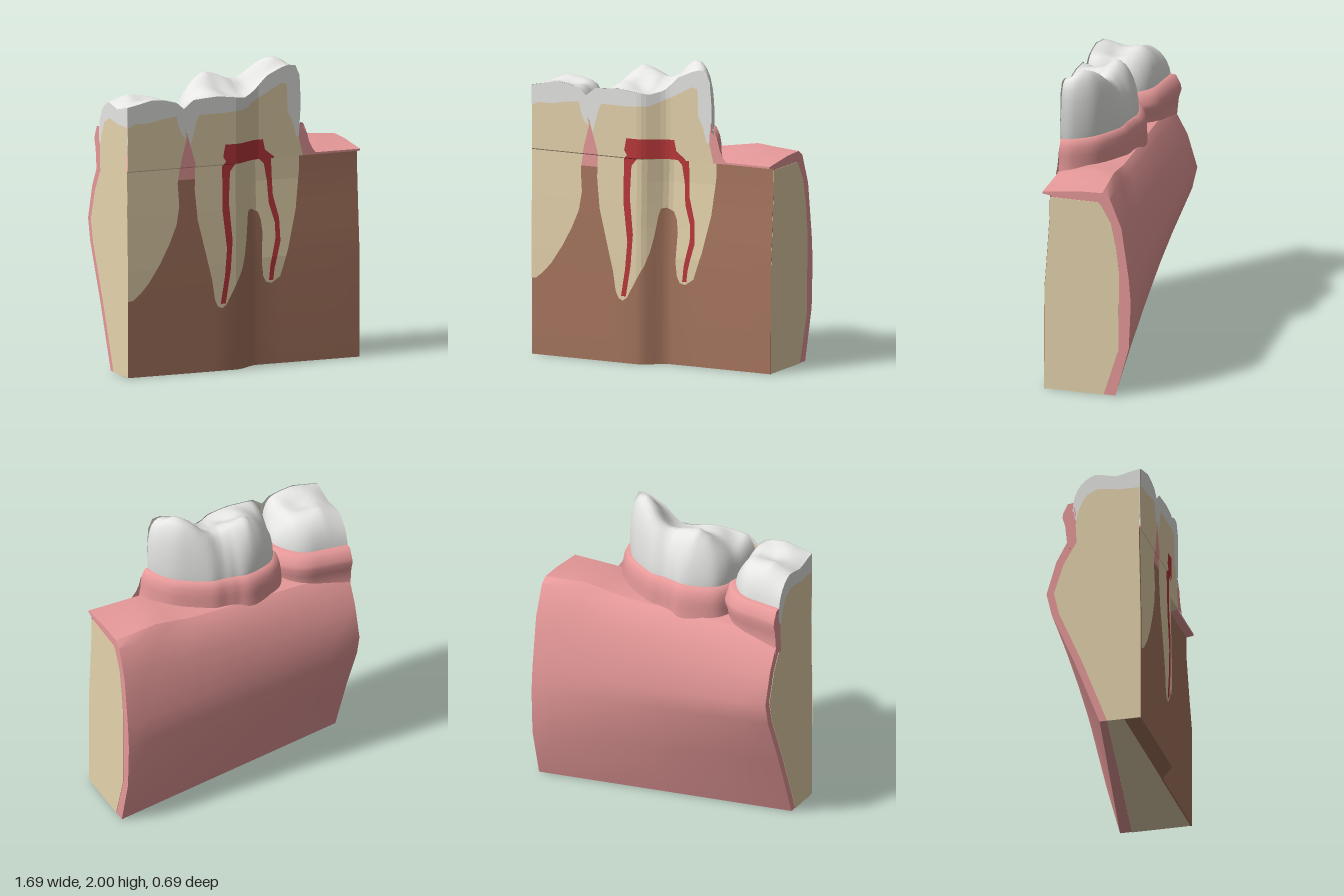
import * as THREE from 'three';
import { mergeGeometries, toCreasedNormals } from 'three/addons/utils/BufferGeometryUtils.js';

const mat = (name, color) => new THREE.MeshStandardMaterial({ name, color, side: THREE.DoubleSide });
const HALF = 0.845;
const BEND = [-0.08, -0.05, -0.02, 0.02, 0.06, 0.09, 0.12];
const LEDGE = [1.352, 1.345, 1.2, 1.05, 0.9, 0.7];
const smooth = THREE.MathUtils.smoothstep;
const bell = (v, w) => Math.exp(-((v / w) ** 2));

// Linear lookup in [x, y] points
function lookup(pts, x) {
  if (x <= pts[0][0]) return pts[0][1];
  for (let i = 1; i < pts.length; i++) {
    const [x0, y0] = pts[i - 1], [x1, y1] = pts[i];
    if (x <= x1) return y0 + (y1 - y0) * (x - x0) / (x1 - x0);
  }
  return pts[pts.length - 1][1];
}

// Depth of the cut front face: a step back in the middle, and a hollow under a ledge at gum height
const HOLLOW_L = [[0.7, -0.006], [1.05, 0], [1.345, 0.006], [1.352, 0]];
const HOLLOW_R = [[0, 0.012], [0.7, 0.015], [0.9, 0.03], [1.2, 0.05], [1.345, 0.052], [1.352, 0]];
function frontZ(x, y = 2) {
  const t = smooth(x, -0.08, 0.12);
  return 0.34 - 0.086 * t - lookup(HOLLOW_L, y) * (1 - t) - lookup(HOLLOW_R, y) * t;
}

// Keep the part of a polygon on one side of a line across the given axis
function clip(poly, axis, at, sign) {
  const out = [];
  poly.forEach((p, i) => {
    const q = poly[(i + 1) % poly.length];
    const a = (p[axis] - at) * sign, b = (q[axis] - at) * sign, t = a / (a - b);
    if (a >= 0) out.push(p);
    if (a * b < 0) out.push([p[0] + (q[0] - p[0]) * t, p[1] + (q[1] - p[1]) * t]);
  });
  return out;
}
const flat = (poly) => new THREE.ShapeGeometry(new THREE.Shape(poly.map(([x, y]) => new THREE.Vector2(x, y))));

// Thin plate that follows the front face
function frontPlate(poly, lift) {
  const xs = [-1, ...BEND, 1], ys = [2.1, ...LEDGE, 0], parts = [];
  for (let i = 0; i + 1 < xs.length; i++) for (let j = 0; j + 1 < ys.length; j++) {
    const column = clip(clip(poly, 0, xs[i], 1), 0, xs[i + 1], -1);
    const piece = clip(clip(column, 1, ys[j + 1], 1), 1, ys[j], -1);
    if (piece.length < 3) continue;
    const g = flat(piece), p = g.attributes.position;
    for (let k = 0; k < p.count; k++) p.setZ(k, frontZ(p.getX(k), p.getY(k)) + lift);
    g.computeVertexNormals();
    parts.push(g);
  }
  return mergeGeometries(parts);
}

// Plate on the cut end at -x, from [z, y] points
const endPlate = (poly, lift) => flat(poly).rotateY(-Math.PI / 2).translate(-HALF - lift, 0, 0);

function build(pos, index, crease) {
  const g = new THREE.BufferGeometry();
  g.setAttribute('position', new THREE.Float32BufferAttribute(pos, 3));
  g.setIndex(index);
  return toCreasedNormals(g, crease);
}

// Solid lofted along x; section(x) gives [z, y] from bottom back, over the top, to bottom front
function loft(section, half) {
  const xs = [-half, -0.65, -0.45, -0.25, ...BEND, 0.3, 0.45, 0.55, 0.7, half];
  const rows = xs.map(section), n = rows[0].length, pos = [], idx = [];
  rows.forEach((r, i) => r.forEach(([z, y]) => pos.push(xs[i], y, z)));
  for (let i = 0; i + 1 < xs.length; i++) for (let j = 0; j < n; j++) {
    const a = i * n + j, b = i * n + (j + 1) % n, c = b + n, d = a + n;
    idx.push(a, b, d, b, c, d);
  }
  const cap = (r) => THREE.ShapeUtils.triangulateShape(r.map(([z, y]) => new THREE.Vector2(-z, y)), []);
  cap(rows[xs.length - 1]).forEach((f) => f.forEach((v) => idx.push(v + (xs.length - 1) * n)));
  cap(rows[0]).forEach(([a, b, c]) => idx.push(a, c, b));
  return build(pos, idx, 0.55);
}
function blend(left, right, x, gap, frontYs) {
  const t = (x + HALF) / (2 * HALF);
  const back = left.map(([z, y], i) => [z + (right[i][0] - z) * t, y + (right[i][1] - y) * t]);
  return [...back, ...[...frontYs, back[0][1]].map((y) => [frontZ(x, y) - gap, y])];
}

// Fan of rings around a point on the front face; outline is [x, depth] behind it
function fan(cx, outline, rings, height) {
  const N = 56, M = rings.length, pos = [], idx = [], last = [];
  const curve = new THREE.SplineCurve(outline.map(([x, d]) => new THREE.Vector2(x, d)));
  for (let j = 0; j <= N; j++) {
    const p = curve.getPoint(j / N);
    rings.forEach(([k, v]) => {
      const x = cx + (p.x - cx) * k, d = p.y * k, y = height(x, d, v, j / N);
      pos.push(x, y, frontZ(x) - d);
      if (j === N) last.push([frontZ(x) - d, y]);
    });
  }
  for (let j = 0; j < N; j++) for (let i = 0; i + 1 < M; i++) {
    const a = j * M + i, b = a + 1, c = b + M, d = a + M;
    idx.push(a, b, d, b, c, d);
  }
  return { geometry: build(pos, idx, 1.2), last };
}

// Crown rings: [scale of outline, drop from biting surface to neck]
const CROWN = [[0, 0], [0.12, 0], [0.24, 0], [0.36, 0], [0.48, 0], [0.58, 0], [0.67, 0], [0.75, 0.015], [0.82, 0.05],
  [0.88, 0.11], [0.93, 0.2], [0.97, 0.34], [0.99, 0.5], [1, 0.68], [0.985, 0.85], [0.95, 1]];
const NECK = 1.45;

function crownHeight(front, ridge, peakDepth, grooveEnd, arc) {
  return (x, d, q, t) => {
    const f = lookup(front, x), r = lookup(ridge, x), p = peakDepth(x);
    const rise = d < p ? smooth(d, 0, p) : bell(d - p, 0.2);
    const groove = 0.03 * bell(d - p * 0.55, 0.075) * (1 - smooth(x, grooveEnd - 0.15, grooveEnd));
    const ripple = 0.012 * Math.sin(x * 24 + d * 9) * Math.sin(Math.min(d, 0.25) * 12.5);
    const h = f + (r - f) * rise - groove + ripple;
    return h + (NECK - h) * q ** (1.5 - 0.8 * Math.sin(arc * t));
  };
}

export function createModel() {
  const group = new THREE.Group();
  const gum = mat('gum pink', 0xeb9c9c), bone = mat('tan dentine', 0xe5d3ac), marrow = mat('brown bone', 0xa7765f);
  const enamel = mat('enamel white', 0xe6e6e4), pulp = mat('pulp red', 0xba383b);
  const add = (name, geometry, material) => {
    const m = new THREE.Mesh(geometry, material);
    m.name = name;
    group.add(m);
  };

  // Jaw: gum shell, bone core and brown front slab
  const gumL = [[0.07, 0.004], [-0.1, 0.45], [-0.25, 0.8], [-0.285, 0.95], [-0.22, 1.17], [-0.15, 1.3], [-0.1, 1.36], [0, 1.38]];
  const gumR = [[-0.24, 0.004], [-0.33, 0.34], [-0.343, 0.65], [-0.33, 0.82], [-0.28, 1.17], [-0.2, 1.37], [-0.15, 1.4], [0, 1.395]];
  const boneL = [[0.12, 0.002], [-0.05, 0.45], [-0.2, 0.8], [-0.235, 0.95], [-0.17, 1.15], [-0.1, 1.27], [-0.06, 1.33]];
  const boneR = [[-0.16, 0.002], [-0.26, 0.32], [-0.265, 0.86], [-0.245, 1.03], [-0.21, 1.2], [-0.14, 1.32], [-0.12, 1.335]];
  // The gum top swells a little beside the large tooth
  const gumSection = (x) => blend(gumL, gumR, x, 0.003, [1.365, ...LEDGE])
    .map(([z, y]) => [z, y > 1.37 ? y + 0.035 * bell(x - 0.56, 0.16) : y]);
  const lower = LEDGE.slice(2);
  add('gumBody', loft(gumSection, HALF - 0.003), gum);
  add('boneCore', loft((x) => blend(boneL, boneR, x, 0.002, [1.335, ...lower]), HALF), bone);
  const slab = [1.345, ...lower, 0];
  add('boneFront', loft((x) => [
    ...slab.slice().reverse().map((y) => [Math.min(0.235, frontZ(x, y) - 0.01), y]),
    ...slab.map((y) => [frontZ(x, y), y]),
  ], HALF - 0.001), marrow);

  // Large molar crown and gum collar
  const outline2 = [[0.42, 0], [0.4, 0.08], [0.32, 0.19], [0.2, 0.27], [0.05, 0.345], [-0.04, 0.41], [-0.14, 0.435],
    [-0.3, 0.39], [-0.37, 0.32], [-0.41, 0.2], [-0.445, 0]];
  const front2 = [[-0.45, 1.74], [-0.38, 1.79], [-0.2, 1.8], [0, 1.775], [0.08, 1.8], [0.18, 1.895], [0.28, 1.94], [0.33, 1.955], [0.42, 1.945]];
  const ridge2 = [[-0.44, 1.74], [-0.32, 1.83], [-0.25, 1.89], [-0.18, 1.93], [-0.12, 1.905], [0, 1.86], [0.05, 1.865],
    [0.1, 1.9], [0.18, 1.97], [0.26, 1.995], [0.35, 1.98], [0.42, 1.945]];
  const peak2 = (x) => THREE.MathUtils.mapLinear(THREE.MathUtils.clamp(x, -0.18, 0.26), -0.18, 0.26, 0.32, 0.1);
  add('largeCrown', fan(0, outline2, CROWN, crownHeight(front2, ridge2, peak2, 0.2, Math.PI)).geometry, enamel);
  // Collar feet sink towards the back
  const ringY = (x, d, y) => (y < 1.4 ? y - 0.22 * d : y);
  add('largeCollar', fan(0, outline2, [[0.95, 1.5], [0.99, 1.57], [1.04, 1.565], [1.09, 1.52], [1.11, 1.47], [1.11, 1.43],
    [1.13, 1.395], [1.14, 1.36]], ringY).geometry, gum);

  // Cut neighbouring molar
  const outline1 = [[-0.445, 0], [-0.42, 0.09], [-0.41, 0.19], [-0.43, 0.27], [-0.5, 0.36], [-0.58, 0.41], [-0.7, 0.43], [-HALF, 0.45]];
  const front1 = [[-0.85, 1.77], [-0.75, 1.79], [-0.67, 1.81], [-0.58, 1.8], [-0.5, 1.78], [-0.44, 1.735]];
  const ridge1 = [[-0.85, 1.76], [-0.72, 1.81], [-0.63, 1.8], [-0.52, 1.8], [-0.44, 1.73]];
  const crown1 = fan(-HALF, outline1, CROWN, crownHeight(front1, ridge1, () => 0.3, 0, Math.PI / 2));
  add('smallCrown', crown1.geometry, enamel);
  const collar1 = fan(-HALF, outline1, [[0.95, 1.5], [0.99, 1.58], [1.07, 1.575], [1.14, 1.51], [1.15, 1.48], [1.11, 1.42],
    [1.08, 1.395], [1.1, 1.375], [1.02, 1.36]], ringY);
  add('smallCollar', collar1.geometry, gum);
  add('crownEnd', endPlate([...crown1.last, [0.34, NECK]], 0), enamel);
  add('collarEnd', endPlate([...collar1.last, [-0.05, 1.25]], 0), gum);
  add('dentineEnd', endPlate([[0.338, 1.64], [0.2, 1.64], [0.06, 1.66], [-0.02, 1.62], [-0.07, 1.52], [-0.09, 1.42], [-0.08, 1.25],
    [0.333, 1.25]], 0.002), bone);

  // Cut surfaces on the front
  const toothTwo = [[-0.44, 1.72], [-0.42, 1.55], [-0.365, 1.37], [-0.37, 1.2], [-0.35, 1], [-0.3, 0.8], [-0.25, 0.6], [-0.23, 0.47],
    [-0.21, 0.425], [-0.18, 0.41], [-0.15, 0.43], [-0.1, 0.52], [-0.03, 0.65], [0, 0.74], [0.02, 0.84], [0.04, 0.98], [0.05, 1.02],
    [0.08, 1.025], [0.13, 1], [0.15, 0.95], [0.16, 0.87], [0.15, 0.67], [0.16, 0.58], [0.18, 0.54], [0.22, 0.53], [0.28, 0.57],
    [0.34, 0.75], [0.4, 1], [0.43, 1.25], [0.43, 1.37], [0.4, 1.5], [0.4, 1.6], [0.4, 1.8], [0.3, 1.87], [0.2, 1.83], [0, 1.74], [-0.38, 1.75]];
  const toothOne = [[-HALF, 0.5], [-0.81, 0.505], [-0.76, 0.545], [-0.7, 0.61], [-0.62, 0.73], [-0.55, 0.86], [-0.5, 0.98], [-0.48, 1.1],
    [-0.49, 1.25], [-0.465, 1.4], [-0.425, 1.55], [-0.46, 1.72], [-HALF, 1.7]];
  const enamelTwo = [[-0.42, 1.56], [-0.445, 1.62], [-0.45, 1.735], [-0.38, 1.79], [-0.2, 1.8], [0, 1.775], [0.08, 1.8], [0.18, 1.895],
    [0.28, 1.94], [0.33, 1.955], [0.38, 1.95], [0.41, 1.88], [0.418, 1.7], [0.405, 1.48], [0.385, 1.48], [0.36, 1.58], [0.325, 1.65],
    [0.32, 1.83], [0.28, 1.84], [0.15, 1.77], [0, 1.7], [-0.15, 1.69], [-0.34, 1.69], [-0.36, 1.64], [-0.4, 1.5]];
  const enamelOne = [[-HALF, 1.77], [-0.75, 1.79], [-0.67, 1.81], [-0.58, 1.8], [-0.5, 1.78], [-0.447, 1.735], [-0.44, 1.6], [-0.435, 1.54],
    [-0.465, 1.57], [-0.49, 1.64], [-0.5, 1.69], [-0.6, 1.68], [-0.7, 1.66], [-0.8, 1.66], [-HALF, 1.635]];
  const pulpShape = [[-0.155, 1.48], [0.15, 1.48], [0.165, 1.41], [0.23, 1.36], [0.24, 1.1], [0.28, 0.95], [0.285, 0.8], [0.24, 0.63],
    [0.23, 0.55], [0.2, 0.55], [0.21, 0.65], [0.25, 0.82], [0.25, 0.92], [0.21, 1.05], [0.2, 1.2], [0.18, 1.31], [0.14, 1.35],
    [-0.08, 1.35], [-0.12, 1.3], [-0.13, 1.1], [-0.105, 0.85], [-0.12, 0.65], [-0.155, 0.44], [-0.19, 0.44], [-0.16, 0.62],
    [-0.145, 0.8], [-0.175, 1.05], [-0.175, 1.34], [-0.15, 1.37], [-0.17, 1.4]];
  add('gumBetweenTeeth', frontPlate([[-0.425, 1.57], [-0.34, 1.4], [-0.34, 1.27], [-0.52, 1.27], [-0.5, 1.4]], 0.002), gum);
  add('smallToothDentine', frontPlate(toothOne, 0.004), bone);
  add('largeToothDentine', frontPlate(toothTwo, 0.004), bone);
  add('smallToothEnamel', frontPlate(enamelOne, 0.006), enamel);
  add('largeToothEnamel', frontPlate(enamelTwo, 0.006), enamel);
  add('pulpAndRootCanals', frontPlate(pulpShape, 0.006), pulp);
  add('gumCutEdge', frontPlate([[0.395, 1.57], [0.425, 1.55], [0.465, 1.5], [0.48, 1.44], [0.5, 1.4], [0.53, 1.36], [0.43, 1.36],
    [0.4, 1.5]], 0.002), gum);
  return group;
}
